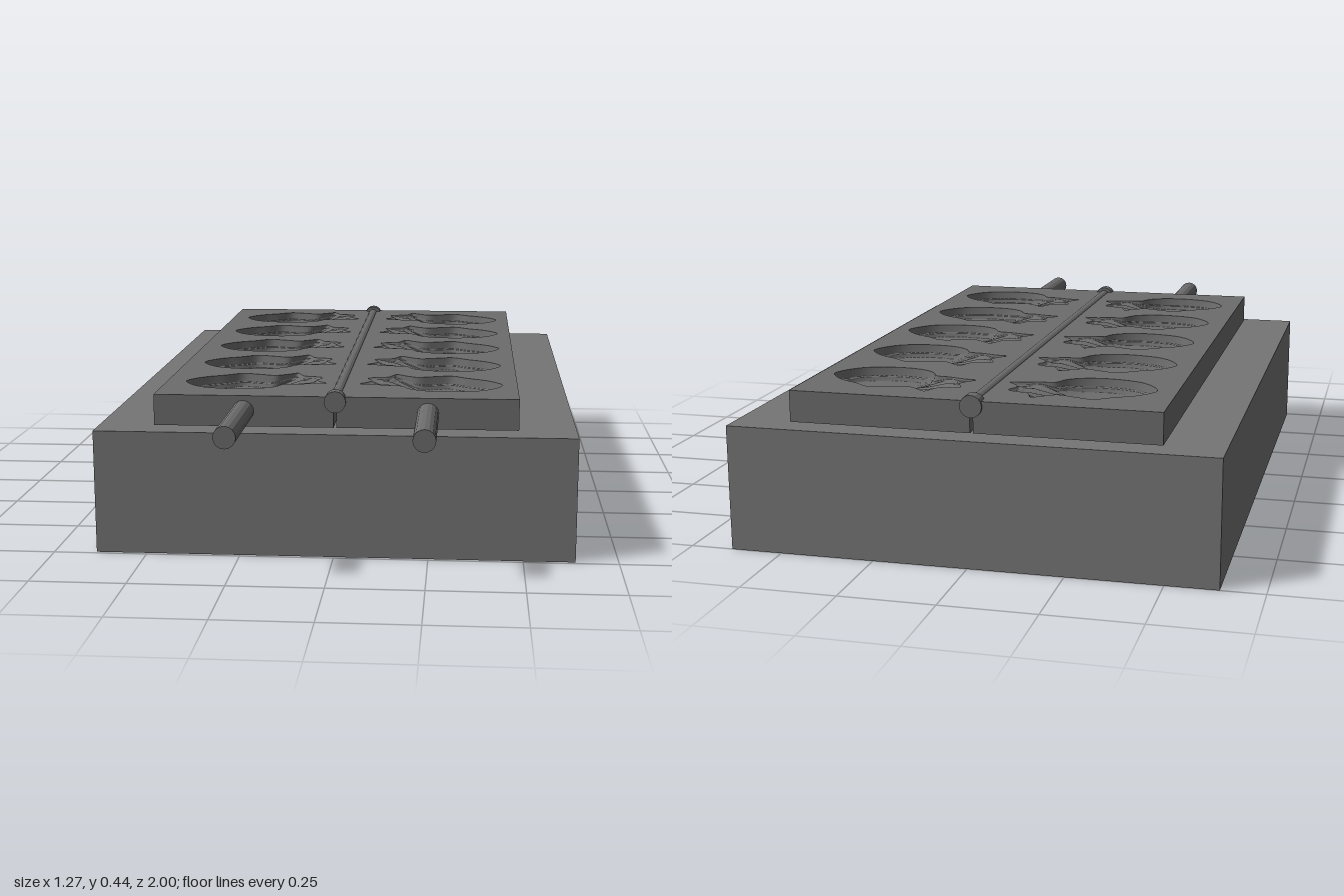
import * as THREE from 'three';

const baseMaterial = new THREE.MeshStandardMaterial({ color: 0x757575 });
const ironMaterial = new THREE.MeshStandardMaterial({ color: 0x6c6c6c });
const rodMaterial = new THREE.MeshStandardMaterial({ color: 0x6c6c6c, flatShading: true });
const PLATE = { x0: 0.004, x1: 0.484, y0: 0.338, y1: 0.421, z0: -0.945, z1: 0.682 };

// Fish outline around its centre, mouth towards -x, tail towards +x (x, z pairs)
const FISH = [
  [-0.169, 0.011], [-0.155, -0.02], [-0.122, -0.055], [-0.075, -0.082], [-0.028, -0.114],
  [0.02, -0.102], [0.068, -0.088], [0.098, -0.106], [0.127, -0.128], [0.138, -0.108],
  [0.15, -0.085], [0.18, -0.078], [0.204, -0.064], [0.19, -0.03], [0.205, 0.0],
  [0.222, 0.018], [0.185, 0.024], [0.145, 0.036], [0.106, 0.042], [0.085, 0.078],
  [0.045, 0.104], [-0.01, 0.114], [-0.065, 0.108], [-0.115, 0.09], [-0.15, 0.055],
];

function addMesh(parent, name, geometry, material, x = 0, y = 0, z = 0) {
  const mesh = new THREE.Mesh(geometry, material);
  mesh.name = name;
  mesh.position.set(x, y, z);
  parent.add(mesh);
  return mesh;
}

function fishOutline(side) {
  const curve = new THREE.CatmullRomCurve3(
    FISH.map(([x, z]) => new THREE.Vector3(x, 0, z)), true, 'centripetal');
  const points = curve.getPoints(100).slice(0, -1);
  if (side > 0) {
    points.forEach((p) => { p.x *= -1; });
    points.reverse();
  }
  return points;
}

// Hollow: steep stepped wall, flat floor, tail rising to the surface, ribs at tail and mouth
function cavityGeometry(outline, side) {
  const rings = [
    [1, 0], [0.975, 0.6], [0.965, 0.65], [0.93, 0.67], [0.92, 0.7],
    [0.9, 0.95], [0.88, 1], [0.75, 1], [0.5, 1], [0, 1],
  ];
  const n = outline.length, position = [], index = [];
  for (const [scale, depth] of rings) {
    for (const p of outline) {
      const x = p.x * scale, z = p.z * scale;
      const tail = THREE.MathUtils.smoothstep(-side * x, 0.03, 0.16);
      const mouth = THREE.MathUtils.smoothstep(side * x, 0.1, 0.16);
      const ribs = 0.08 * (tail + mouth) * Math.sin(Math.atan2(z, Math.abs(x)) * 22);
      position.push(x, -0.036 * depth * (1 - 0.75 * tail + ribs), z);
    }
  }
  for (let r = 0; r < rings.length - 1; r++) {
    for (let i = 0; i < n; i++) {
      const a = r * n + i, b = r * n + (i + 1) % n;
      index.push(a, b, a + n);
      if (r < rings.length - 2) index.push(b, b + n, a + n);
    }
  }
  const geometry = new THREE.BufferGeometry();
  geometry.setAttribute('position', new THREE.Float32BufferAttribute(position, 3));
  geometry.setIndex(index);
  geometry.computeVertexNormals();
  // Make the faces look up
  if (geometry.attributes.normal.getY(n * 7) < 0) {
    geometry.setIndex(index.reverse());
    geometry.computeVertexNormals();
  }
  return geometry;
}

// One mould plate: open box, top sheet with fish holes, and the cavities below them
function mouldPlate(side) {
  const plate = new THREE.Group();
  plate.name = side > 0 ? 'leftPlate' : 'rightPlate';
  const { x0, x1, y0, y1, z0, z1 } = PLATE;
  const midX = side * (x0 + x1) / 2, midZ = (z0 + z1) / 2;

  const box = new THREE.BoxGeometry(x1 - x0, y1 - y0, z1 - z0);
  const faces = Array.from(box.index.array);
  faces.splice(12, 6); // remove the upper face
  box.setIndex(faces);
  box.clearGroups();
  addMesh(plate, 'plateBody', box, ironMaterial, midX, (y0 + y1) / 2, midZ);

  const top = new THREE.Shape([
    new THREE.Vector2(side * x0, -z0), new THREE.Vector2(side * x1, -z0),
    new THREE.Vector2(side * x1, -z1), new THREE.Vector2(side * x0, -z1),
  ]);
  const outline = fishOutline(side);
  const cavity = cavityGeometry(outline, side);
  const fishX = side > 0 ? 0.274 : -0.262;
  for (let row = 0; row < 5; row++) {
    const fishZ = -0.743 + 0.304 * row;
    top.holes.push(new THREE.Path(
      outline.map((p) => new THREE.Vector2(p.x + fishX, -(p.z + fishZ)))));
    addMesh(plate, 'fishCavity', cavity, ironMaterial, fishX, y1, fishZ);
  }
  const sheet = new THREE.ShapeGeometry(top);
  sheet.rotateX(-Math.PI / 2);
  addMesh(plate, 'plateTop', sheet, ironMaterial, 0, y1, 0);
  return plate;
}

// Faceted cylinder lying along z
function rod(radius, zBack, zFront) {
  const geometry = new THREE.CylinderGeometry(radius, radius, zFront - zBack, 16);
  geometry.rotateX(Math.PI / 2);
  geometry.translate(0, 0, (zFront + zBack) / 2);
  return geometry;
}

export function createModel() {
  const model = new THREE.Group();
  model.name = 'fishWaffleIron';

  // Stove block
  addMesh(model, 'base', new THREE.BoxGeometry(1.274, 0.332, 1.74), baseMaterial, 0, 0.166, -0.13);

  // Two hinged plates with handles
  for (const side of [-1, 1]) {
    model.add(mouldPlate(side));
    addMesh(model, 'handle', rod(0.029, 0.67, 1), rodMaterial, side * 0.245, 0.379, 0);
  }

  // Hinge rod with end caps
  addMesh(model, 'hingeRod', rod(0.016, -0.94, 0.68), rodMaterial, 0, 0.412, 0);
  addMesh(model, 'hingeCapBack', rod(0.029, -0.952, -0.915), rodMaterial, 0, 0.408, 0);
  addMesh(model, 'hingeCapFront', rod(0.029, 0.655, 0.69), rodMaterial, 0, 0.408, 0);
  return model;
}
